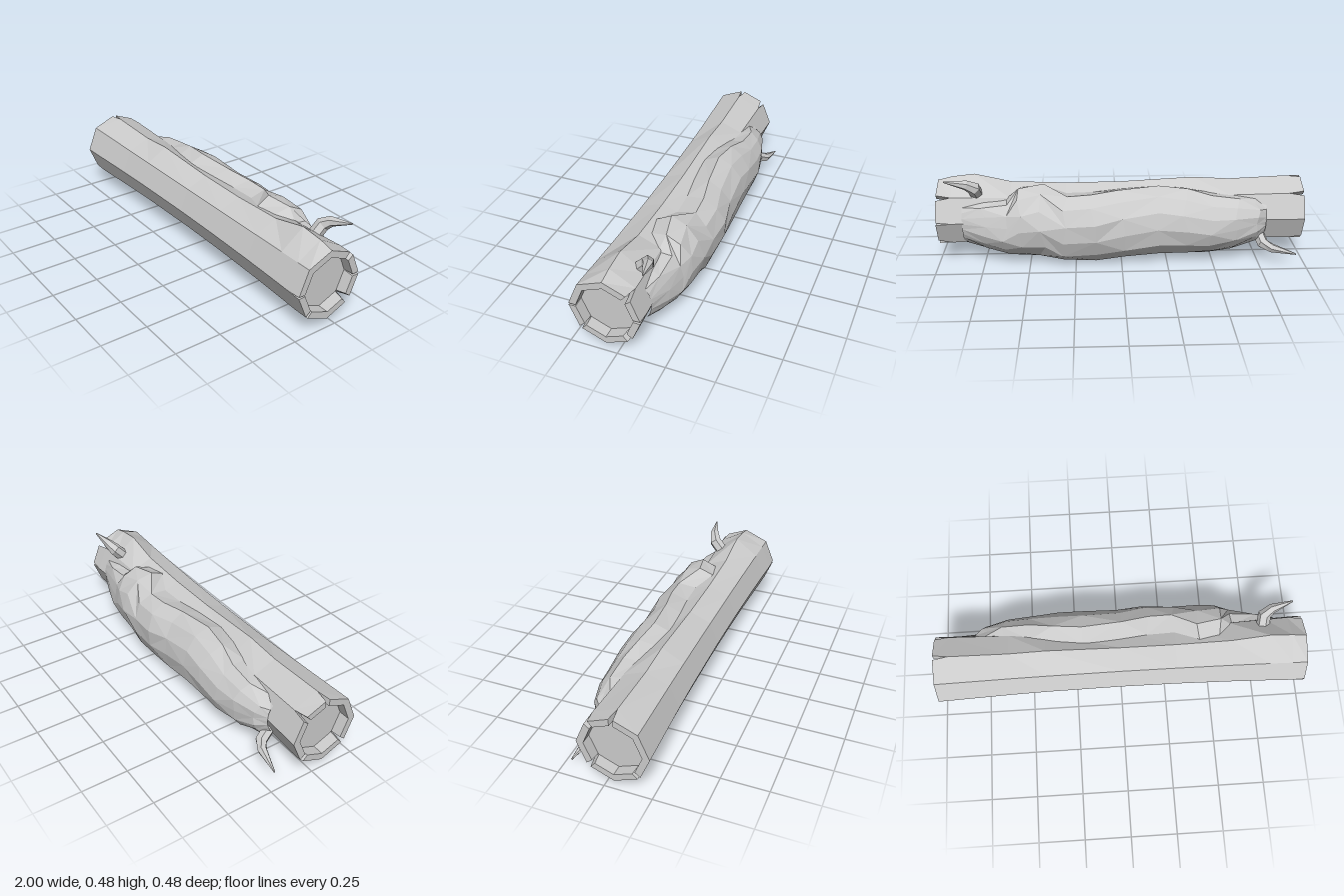
import * as THREE from 'three';

const CY = 0.24, CZ = 0.055;            // log axis
const V = (x, y, z) => new THREE.Vector3(x, y, z);

// Collects quads and triangles into one flat-shaded mesh
function builder(name) {
  const pos = [];
  const tri = (...p) => p.forEach(v => pos.push(v.x, v.y, v.z));
  return {
    tri,
    quad(a, b, c, d, flip = false) {
      if (flip) [b, d] = [d, b];
      tri(a, b, c);
      tri(a, c, d);
    },
    mesh() {
      const geo = new THREE.BufferGeometry();
      geo.setAttribute('position', new THREE.Float32BufferAttribute(pos, 3));
      geo.computeVertexNormals();
      const m = new THREE.Mesh(geo, new THREE.MeshStandardMaterial({ color: 0xcccccc, flatShading: true }));
      m.name = name;
      return m;
    }
  };
}

// Joins closed rings of points running along +x
function loftRings(b, rings) {
  const n = rings[0].length;
  for (let k = 0; k + 1 < rings.length; k++)
    for (let i = 0; i < n; i++) {
      const j = (i + 1) % n;
      b.quad(rings[k][i], rings[k][j], rings[k + 1][j], rings[k + 1][i]);
    }
}

// The trunk is slightly slimmer in the middle
const logRadius = x => 0.165 + 0.024 * x * x;
// Corner of the octagonal trunk: 0 is the top, 2 the front, 4 the bottom
function corner(i, x, r) {
  const a = i * Math.PI / 4;
  return V(x, CY + r * Math.cos(a), CZ + r * Math.sin(a));
}

function makeTrunk() {
  const b = builder('trunk');
  const xs = [-0.92, -0.6, -0.4, 0, 0.3, 0.6, 0.8, 0.92];
  const topBump = [0.002, 0, 0.017, 0, -0.005, 0, 0.04, 0.022];
  const rings = xs.map((x, k) => Array.from({ length: 8 }, (_, i) =>
    corner(i, x, logRadius(x) + (i === 0 ? topBump[k] : 0))));
  loftRings(b, rings);
  // split, hollowed ends; numbers are the half-gaps at each corner
  const ends = [
    { s: -1, base: rings[0], gaps: [0.09, 0, 0, 0.08, 0, 0.1, 0, 0.1] },
    { s: 1, base: rings.at(-1), gaps: [0, 0, 0.04, 0.06, 0, 0.14, 0.05, 0.12] }
  ];
  for (const { s, base, gaps } of ends) {
    const flip = s < 0, rin = 0.15;
    for (let i = 0; i < 8; i++) {
      const j = (i + 1) % 8;
      const lip = r => {
        const p = corner(i, s, r), q = corner(j, s, r);
        return [p.clone().lerp(q, gaps[i]), q.clone().lerp(p, gaps[j])];
      };
      const [p0, p1] = lip(0.188), [r0, r1] = lip(rin);
      const q0 = corner(i, s * 0.92, rin), q1 = corner(j, s * 0.92, rin);
      b.quad(base[i], base[j], p1, p0, flip);   // bark
      b.quad(q1, q0, r0, r1, flip);             // inner wall
      b.quad(p0, p1, r1, r0, flip);             // rim
      b.quad(base[i], p0, r0, q0, flip);        // split faces
      b.quad(base[j], q1, r1, p1, flip);
      const c = V(s * 0.94, CY, CZ);            // recessed wood face
      const e0 = corner(i, s * 0.94, rin), e1 = corner(j, s * 0.94, rin);
      if (flip) b.tri(c, e1, e0); else b.tri(c, e0, e1);
    }
  }
  return b.mesh();
}

// Lumpy moss blanket wrapped around the back
function makeMoss() {
  const b = builder('moss');
  let seed = 7;
  const rnd = () => (seed = (seed * 16807) % 2147483647) / 2147483647 - 0.5;
  // x, upper edge angle, lower edge angle, outer radius
  const stations = [
    [-0.79, 25, -40, 0.18], [-0.74, 38, -55, 0.225], [-0.62, 48, -75, 0.262],
    [-0.48, 55, -90, 0.28], [-0.34, 68, -97, 0.285], [-0.2, 75, -100, 0.282],
    [0, 68, -105, 0.29], [0.15, 60, -108, 0.305], [0.3, 58, -110, 0.302],
    [0.43, 84, -108, 0.285], [0.54, 74, -104, 0.27], [0.62, 46, -98, 0.255],
    [0.74, 40, -85, 0.225], [0.86, 28, -60, 0.18]
  ];
  const N = 9;
  const rows = stations.map(([x, a0, a1, R], k) => Array.from({ length: N + 1 }, (_, j) => {
    const t = j / N, a = THREE.MathUtils.degToRad(a0 + (a1 - a0) * t);
    const inner = j > 0 && j < N && k > 0 && k < stations.length - 1;
    const edge = logRadius(x) * 0.93;
    const r = edge + (R - edge) * Math.pow(Math.max(0, Math.sin(Math.PI * t)), 0.65) + (inner ? rnd() * 0.012 : 0);
    return V(x + (inner ? rnd() * 0.04 : 0), Math.max(0, CY + r * Math.sin(a)), CZ - r * Math.cos(a));
  }));
  for (let k = 0; k + 1 < rows.length; k++)
    for (let j = 0; j < N; j++) {
      const p = [rows[k][j], rows[k + 1][j], rows[k + 1][j + 1], rows[k][j + 1]];
      // alternate the diagonals for an irregular faceted look
      if ((k + j) % 2) b.quad(...p); else b.quad(p[1], p[2], p[3], p[0]);
    }
  return b.mesh();
}

// Bent, pointed twig with six sides
function makeBranch(name, path, radii) {
  const b = builder(name);
  const rings = path.map((p, k) => {
    const dir = path[Math.min(k + 1, path.length - 1)].clone().sub(path[Math.max(k - 1, 0)]).normalize();
    const q = new THREE.Quaternion().setFromUnitVectors(V(1, 0, 0), dir);
    return Array.from({ length: 6 }, (_, i) => {
      const a = i * Math.PI / 3;
      return V(0, Math.cos(a), Math.sin(a)).multiplyScalar(radii[k]).applyQuaternion(q).add(p);
    });
  });
  loftRings(b, rings);
  const tip = rings.at(-1);
  for (let i = 1; i < 5; i++) b.tri(tip[0], tip[i], tip[i + 1]);
  return b.mesh();
}

export function createModel() {
  const group = new THREE.Group();
  group.name = 'mossyLog';
  group.add(
    makeTrunk(),
    makeMoss(),
    makeBranch('upperBranch',
      [V(0.78, 0.36, -0.02), V(0.79, 0.425, -0.08), V(0.83, 0.452, -0.1), V(0.94, 0.48, -0.125)],
      [0.036, 0.036, 0.027, 0.004]),
    makeBranch('lowerBranch',
      [V(-0.75, 0.16, -0.06), V(-0.775, 0.105, -0.145), V(-0.82, 0.088, -0.17), V(-0.95, 0.06, -0.195)],
      [0.032, 0.032, 0.025, 0.004])
  );
  return group;
}
